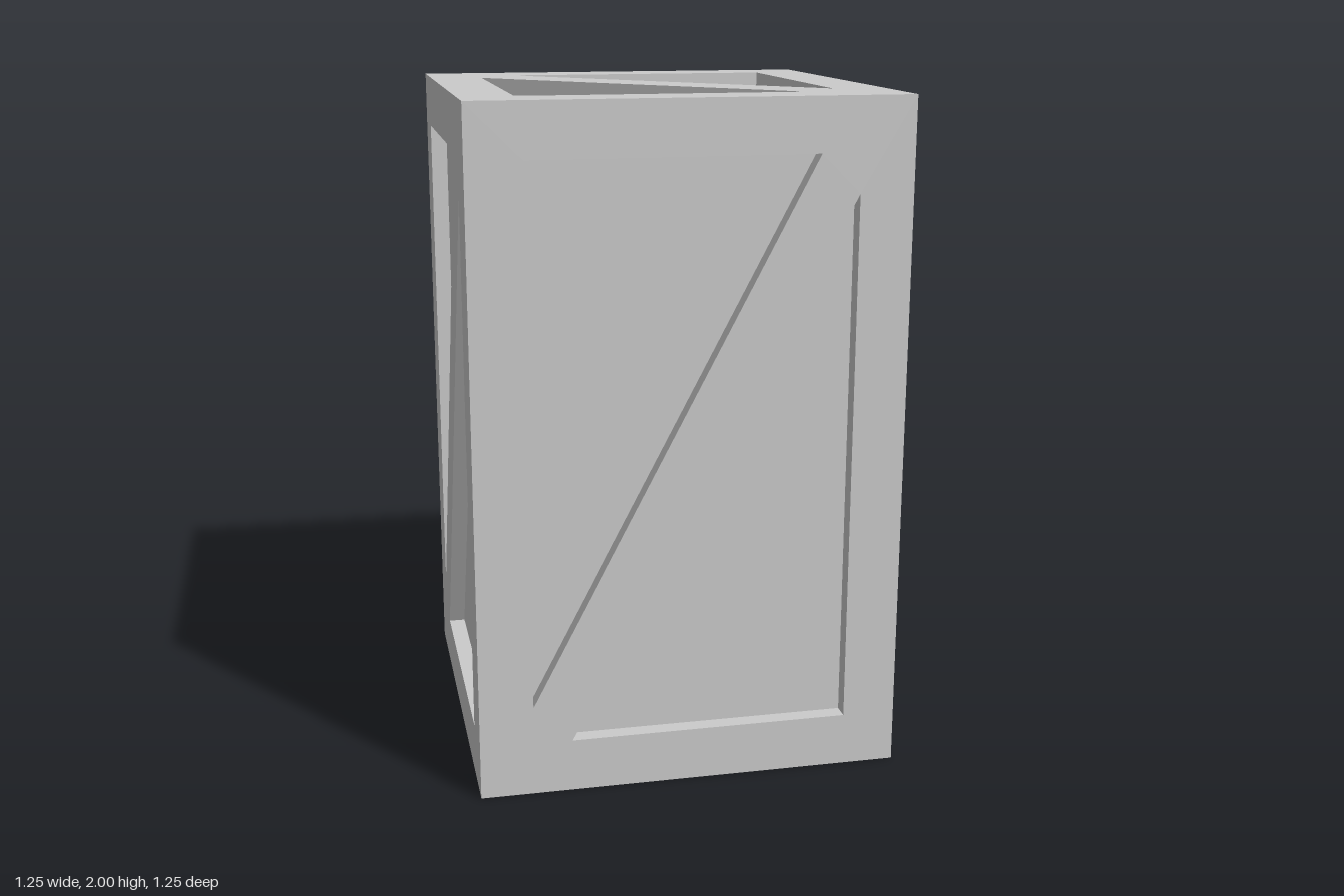
import * as THREE from 'three';

const WIDTH = 1.254, HEIGHT = 2, BORDER = 0.157, DEPTH = 0.05;
const GAP = 0.113; // distance from a border corner to the diagonal brace

// Framed face with two triangular openings either side of a diagonal brace.
// Its outer edges are mitred so that neighbouring faces meet at the corners.
function frameGeometry(w, h, mirrored) {
  const a = w / 2, b = h / 2, x = a - BORDER, y = b - BORDER;
  const m = mirrored ? -1 : 1;
  const points = (list) => list.map(([px, py]) => new THREE.Vector2(px, py));
  const shape = new THREE.Shape(points([[-a, -b], [a, -b], [a, b], [-a, b]]));
  for (const s of [1, -1]) {
    shape.holes.push(new THREE.Path(points([
      [-x * s * m, y * s],
      [(x - GAP) * s * m, y * s],
      [-x * s * m, (-y + GAP) * s],
    ])));
  }
  const geo = new THREE.ExtrudeGeometry(shape, { depth: DEPTH, bevelEnabled: false });
  geo.translate(0, 0, -DEPTH);
  const p = geo.attributes.position;
  for (let i = 0; i < p.count; i++) {
    if (p.getZ(i) > -DEPTH / 2) continue;
    if (Math.abs(p.getX(i)) > a - 0.001) p.setX(i, Math.sign(p.getX(i)) * (a - DEPTH));
    if (Math.abs(p.getY(i)) > b - 0.001) p.setY(i, Math.sign(p.getY(i)) * (b - DEPTH));
  }
  geo.computeVertexNormals();
  return geo;
}

export function createModel() {
  const crate = new THREE.Group();
  crate.name = 'crate';
  const material = new THREE.MeshStandardMaterial({ color: 0xcccccc, flatShading: true });

  const add = (name, geo) => {
    const mesh = new THREE.Mesh(geo, material);
    mesh.name = name;
    mesh.position.y = HEIGHT / 2;
    crate.add(mesh);
  };

  // Inner box: its sides are the recessed panels
  add('innerPanels', new THREE.BoxGeometry(WIDTH - 2 * DEPTH, HEIGHT - 2 * DEPTH, WIDTH - 2 * DEPTH));

  // Four upright frames, all with the brace rising to the viewer's right
  ['frontFrame', 'leftFrame', 'backFrame', 'rightFrame'].forEach((name, i) => {
    add(name, frameGeometry(WIDTH, HEIGHT, false)
      .translate(0, 0, WIDTH / 2).rotateY(i * Math.PI / 2));
  });

  // Square top and bottom frames, brace on the other diagonal
  for (const [name, turn] of [['topFrame', -1], ['bottomFrame', 1]]) {
    add(name, frameGeometry(WIDTH, WIDTH, true)
      .translate(0, 0, HEIGHT / 2).rotateX(turn * Math.PI / 2));
  }
  return crate;
}
